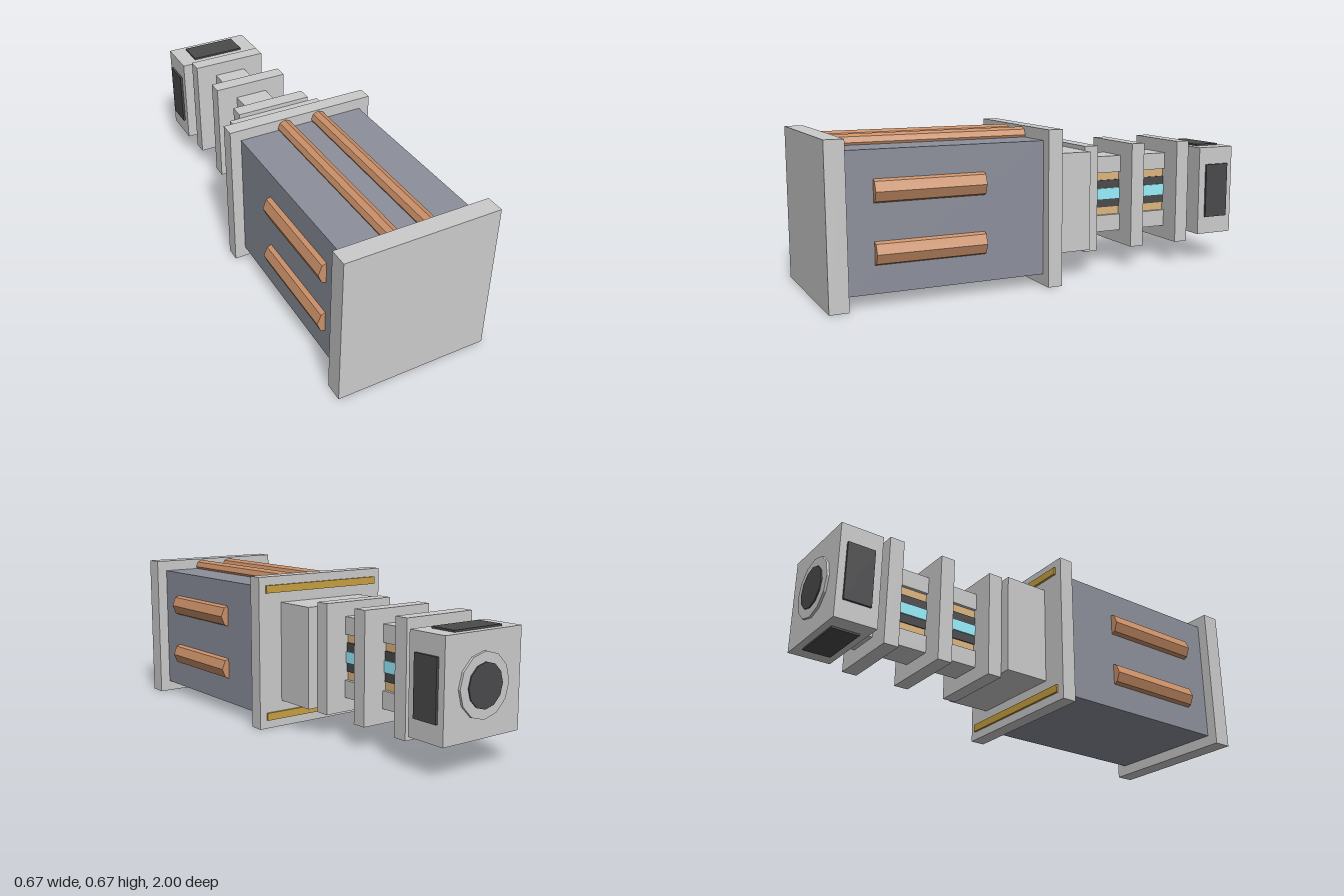
import * as THREE from 'three';

const material = (color) => new THREE.MeshStandardMaterial({ color, flatShading: true });

export function createModel() {
  const model = new THREE.Group();
  const grey = material(0xcccccc);
  const slate = material(0x8c909b);
  const dark = material(0x4a4a4c);
  const copper = material(0xca9068);
  const brass = material(0xc9a040);
  const tan = material(0xe0b67e);
  const cyan = material(0x98f0ff);
  const midY = 0.335;

  const add = (name, geometry, mat, x, y, z) => {
    const mesh = new THREE.Mesh(geometry, mat);
    mesh.name = name;
    mesh.position.set(x, y, z);
    model.add(mesh);
    return mesh;
  };
  // Box centred on x, spanning z0 to z1; dy is measured from the centre line
  const block = (name, mat, w, h, z0, z1, dy = 0, x = 0) =>
    add(name, new THREE.BoxGeometry(w, h, Math.abs(z1 - z0)), mat, x, midY + dy, (z0 + z1) / 2);
  // Cylinder lying along z
  const rod = (name, mat, r, sides, z0, z1, x = 0, dy = 0) => {
    const g = new THREE.CylinderGeometry(r, r, Math.abs(z1 - z0), sides).rotateX(Math.PI / 2);
    return add(name, g, mat, x, midY + dy, (z0 + z1) / 2);
  };

  // Main housing between two end plates
  block('frontPlate', grey, 0.667, 0.667, 0.92, 1);
  block('housing', slate, 0.57, 0.57, 0.06, 0.93);
  block('rearPlate', grey, 0.667, 0.667, 0, 0.065);

  // Pipes half sunk into the top and the sides, and trim bars on the rear plate
  for (const s of [-1, 1]) {
    rod('topPipe', copper, 0.033, 8, 0.06, 0.925, s * 0.08, 0.295);
    for (const t of [-1, 1]) rod('sidePipe', copper, 0.056, 8, 0.335, 0.8, s * 0.264, t * 0.123);
    block('trimBar', brass, 0.6, 0.033, 0.01, -0.01, s * 0.28);
  }

  // Neck block and collars
  block('neckBlock', grey, 0.44, 0.437, 0.01, -0.2);
  for (const z of [-0.2, -0.445, -0.69]) block('collar', grey, 0.345, 0.475, z, z - 0.065);

  // Layered spine running through the collars
  for (const s of [-1, 1]) {
    block('spineRail', grey, 0.15, 0.076, -0.2, -0.81, s * 0.137);
    block('spineConductor', tan, 0.12, 0.04, -0.2, -0.81, s * 0.081);
  }
  block('spineCore', dark, 0.13, 0.126, -0.2, -0.81);
  block('glowStrip', cyan, 0.14, 0.05, -0.2, -0.77);

  // Head with a panel on each of four sides
  block('head', grey, 0.4, 0.41, -0.8, -0.985);
  for (const s of [-1, 1]) {
    block('headSidePanel', dark, 0.02, 0.25, -0.835, -0.955, 0, s * 0.2);
    block('headPanel', dark, 0.25, 0.02, -0.835, -0.955, s * 0.203);
  }

  // Round port on the back of the head
  rod('portRing', grey, 0.13, 12, -0.98, -0.995);
  rod('portLens', dark, 0.09, 12, -0.98, -1);

  return model;
}
